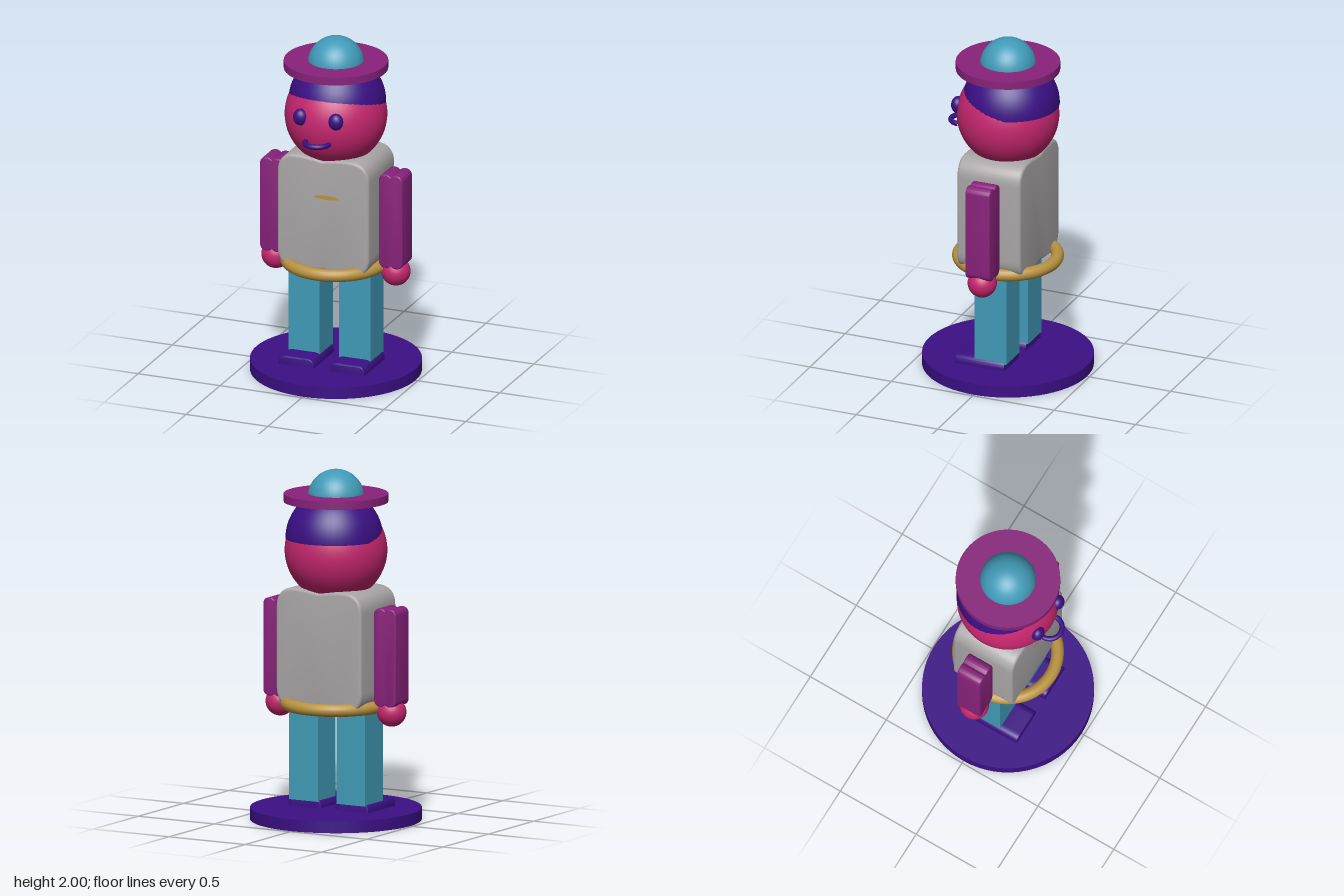
import * as THREE from 'three';
import { toCreasedNormals } from 'three/addons/utils/BufferGeometryUtils.js';

const paint = (name, color) => Object.assign(new THREE.MeshStandardMaterial({ color }), { name });

export function createModel() {
  const pink = paint('pink', 0xc4266e);
  const indigo = paint('indigo', 0x3b0f84);
  const plum = paint('plum', 0x88227a);
  const teal = paint('teal', 0x419bb8);
  const grey = paint('grey', 0xaaa6a7);
  const gold = paint('gold', 0xb8923f);

  const model = new THREE.Group();
  model.name = 'toyFigure';

  function add(name, geometry, material, x = 0, y = 0, z = 0) {
    const mesh = new THREE.Mesh(geometry, material);
    mesh.name = name;
    mesh.position.set(x, y, z);
    model.add(mesh);
    return mesh;
  }

  // Soft slab extruded along z: rounded corners, with a dip in the middle of its top and bottom
  function softSlab(halfW, y0, y1, r, dip, depth, bevel) {
    const w = halfW - bevel, b = y0 + bevel, t = y1 - bevel, k = w - r;
    const s = new THREE.Shape();
    s.moveTo(0, b + dip);
    s.quadraticCurveTo(k * 0.5, b, k, b);
    s.quadraticCurveTo(w, b, w, b + r);
    s.lineTo(w, t - r);
    s.quadraticCurveTo(w, t, k, t);
    s.quadraticCurveTo(k * 0.5, t, 0, t - dip);
    s.quadraticCurveTo(-k * 0.5, t, -k, t);
    s.quadraticCurveTo(-w, t, -w, t - r);
    s.lineTo(-w, b + r);
    s.quadraticCurveTo(-w, b, -k, b);
    s.quadraticCurveTo(-k * 0.5, b, 0, b + dip);
    const g = new THREE.ExtrudeGeometry(s, {
      depth: depth - 2 * bevel, bevelEnabled: true, bevelSize: bevel,
      bevelThickness: bevel, bevelSegments: 3, curveSegments: 10,
    });
    g.translate(0, 0, bevel - depth / 2);
    return toCreasedNormals(g, 0.6);
  }

  // Stand
  add('base', new THREE.CylinderGeometry(0.485, 0.485, 0.068, 64), indigo, 0, 0.034, 0);

  // Torso, belt and the sliver of a chest badge
  add('torso', softSlab(0.28, 0.645, 1.333, 0.1, 0.018, 0.39, 0.016), grey);
  const belt = add('belt', new THREE.TorusGeometry(0.28, 0.036, 16, 64), gold, 0, 0.666, 0);
  belt.rotation.x = Math.PI / 2;
  const badge = add('chestBadge', new THREE.CircleGeometry(0.075, 24), gold, 0.025, 1.1, 0.1955);
  badge.scale.y = 0.16;

  // Paired parts
  for (const side of [1, -1]) {
    const label = side > 0 ? 'left' : 'right';
    add(label + 'Leg', new THREE.BoxGeometry(0.19, 0.57, 0.195), teal, side * 0.155, 0.39, 0);
    add(label + 'Foot', softSlab(0.108, 0.02, 0.121, 0.035, 0, 0.305, 0.008), indigo, side * 0.155, 0, 0.063);
    add(label + 'Arm', softSlab(0.072, 0.68, 1.242, 0.036, 0.016, 0.15, 0.006), plum, side * 0.363, 0, 0);
    add(label + 'Hand', new THREE.SphereGeometry(0.083, 32, 20), pink, side * 0.366, 0.643, 0);
    add(label + 'Eye', new THREE.SphereGeometry(1, 24, 16), indigo, side * 0.108, 1.592, 0.262)
      .scale.set(0.043, 0.049, 0.037);
  }

  // Head, with a hair cap set slightly up and back
  add('head', new THREE.SphereGeometry(0.29, 48, 32), pink, 0, 1.54, 0);
  add('hair', new THREE.SphereGeometry(0.276, 48, 20, 0, Math.PI * 2, 0, Math.PI / 2), indigo, 0, 1.61, -0.018);
  add('hairUnderside', new THREE.CircleGeometry(0.276, 48), indigo, 0, 1.61, -0.018).rotation.x = Math.PI / 2;

  // Mouth: a half ring bowing forward
  add('mouth', new THREE.TorusGeometry(0.07, 0.015, 12, 32, Math.PI), indigo, 0, 1.455, 0.275)
    .rotation.x = Math.PI / 2;

  // Hat
  add('hatBrim', new THREE.CylinderGeometry(0.295, 0.295, 0.046, 64), plum, 0, 1.84, 0);
  add('hatCrown', new THREE.SphereGeometry(0.16, 40, 16, 0, Math.PI * 2, 0, Math.PI / 2), teal, 0, 1.84, 0);

  return model;
}
